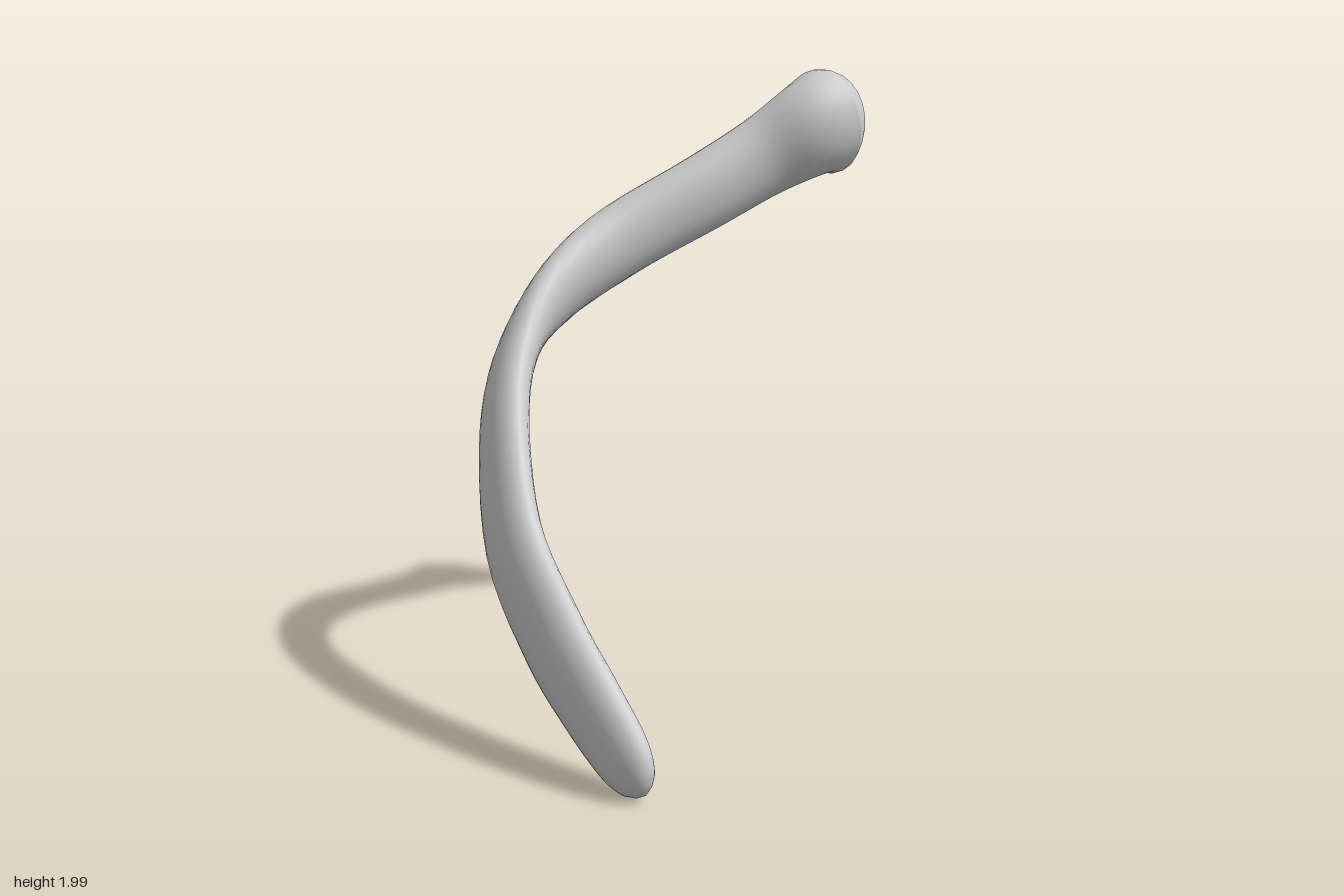
import * as THREE from 'three';

// Stations along the bone: centre, width direction, [half width, half thickness]
const STATIONS = [
  [[0.358, 0.035, 0.84], [0.62, 0.71, 0.32], [0.035, 0.022]],
  [[0.335, 0.06, 0.83], [0.62, 0.71, 0.32], [0.078, 0.043]],
  [[0.28, 0.115, 0.808], [0.62, 0.71, 0.32], [0.112, 0.058]],
  [[0.16, 0.225, 0.755], [0.62, 0.71, 0.32], [0.13, 0.065]],
  [[0.0, 0.37, 0.667], [0.62, 0.71, 0.32], [0.14, 0.067]],
  [[-0.2, 0.595, 0.52], [0.63, 0.68, 0.38], [0.143, 0.067]],
  [[-0.345, 0.895, 0.3], [0.63, 0.63, 0.46], [0.138, 0.066]],
  [[-0.395, 1.105, 0.1], [0.58, 0.6, 0.55], [0.13, 0.067]],
  [[-0.35, 1.275, -0.1], [0.2, 0.78, 0.55], [0.125, 0.077]],
  [[-0.22, 1.425, -0.3], [-0.26, 0.86, 0.43], [0.126, 0.085]],
  [[0.0, 1.58, -0.5], [-0.3, 0.88, 0.38], [0.132, 0.085]],
  [[0.165, 1.7, -0.64], [-0.28, 0.9, 0.3], [0.14, 0.09]],
  [[0.298, 1.79, -0.72], [-0.18, 0.95, 0.15], [0.165, 0.12]],
  [[0.336, 1.82, -0.795], [-0.1, 1, 0.02], [0.181, 0.152]],
  [[0.348, 1.825, -0.845], [-0.1, 1, 0.02], [0.135, 0.112]],
];
const TIP = [0.366, 0.028, 0.843];
const SOCKET = [0.343, 1.835, -0.825];
const SIDES = 24;
const STEPS = 5;

// Smooth interpolation of one station column
const track = (col) => new THREE.CatmullRomCurve3(
  STATIONS.map((s) => new THREE.Vector3(s[col][0], s[col][1], s[col][2] ?? 0)),
  false, 'catmullrom', 0.5);

// Elliptical cross-sections swept along a curve, closed by a point at each end
function sweptBone() {
  const centres = track(0), widths = track(1), sizes = track(2);
  const rings = (STATIONS.length - 1) * STEPS;
  const pos = [], index = [];
  for (let i = 0; i <= rings; i++) {
    const t = i / rings;
    const c = centres.getPoint(t);
    const T = centres.getTangent(t);
    const W = widths.getPoint(t);
    W.addScaledVector(T, -W.dot(T)).normalize();
    const N = new THREE.Vector3().crossVectors(W, T);
    const { x: b, y: a } = sizes.getPoint(t);
    for (let j = 0; j < SIDES; j++) {
      const th = (j / SIDES) * Math.PI * 2;
      const p = c.clone()
        .addScaledVector(N, a * Math.cos(th))
        .addScaledVector(W, b * Math.sin(th));
      pos.push(p.x, p.y, p.z);
      if (i < rings) {
        const k = (j + 1) % SIDES, r = i * SIDES, q = r + SIDES;
        index.push(r + j, r + k, q + j, r + k, q + k, q + j);
      }
    }
  }
  // Rounded tip and shallow joint socket
  const tip = pos.length / 3, socket = tip + 1, last = rings * SIDES;
  pos.push(...TIP, ...SOCKET);
  for (let j = 0; j < SIDES; j++) {
    const k = (j + 1) % SIDES;
    index.push(tip, k, j, socket, last + j, last + k);
  }
  const g = new THREE.BufferGeometry();
  g.setAttribute('position', new THREE.Float32BufferAttribute(pos, 3));
  g.setIndex(index);

  // Stand it on the ground
  g.computeBoundingBox();
  g.translate(0, -g.boundingBox.min.y, 0);
  g.computeVertexNormals();
  return g;
}

export function createModel() {
  const group = new THREE.Group();
  group.name = 'ribBone';
  const rib = new THREE.Mesh(sweptBone(), new THREE.MeshStandardMaterial({ color: 0xcccccc }));
  rib.name = 'rib';
  group.add(rib);
  return group;
}
